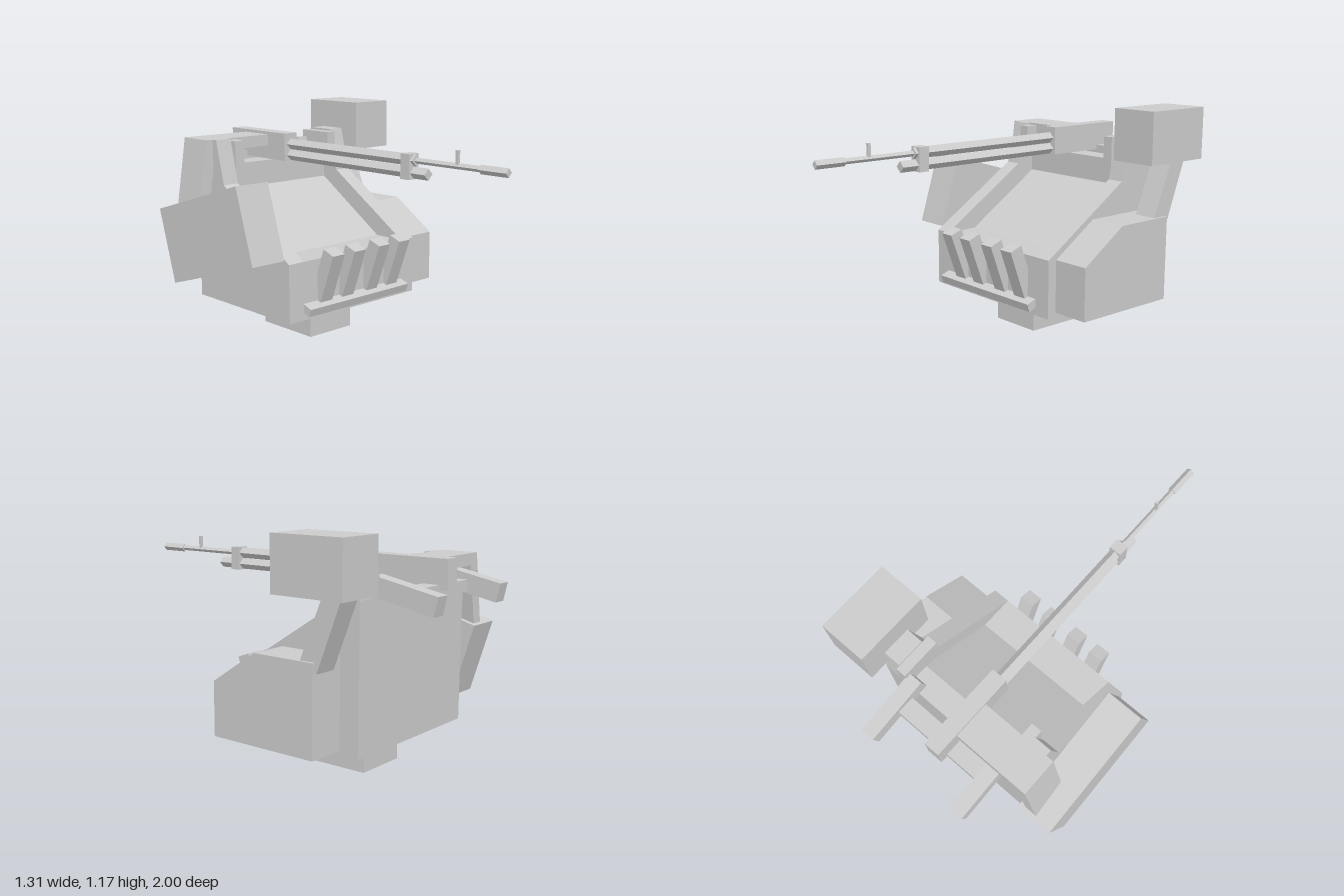
import * as THREE from 'three';

export function createModel() {
  const root = new THREE.Group();
  const mat = new THREE.MeshStandardMaterial({ color: 0xcccccc, flatShading: true });

  const add = (name, geo) => {
    const mesh = new THREE.Mesh(geo, mat);
    mesh.name = name;
    root.add(mesh);
    return mesh;
  };
  // Box from its extents
  const box = (name, x0, x1, y0, y1, z0, z1) =>
    add(name, new THREE.BoxGeometry(x1 - x0, y1 - y0, z1 - z0)
      .translate((x0 + x1) / 2, (y0 + y1) / 2, (z0 + z1) / 2));
  // Side profile of [z, y] points, extruded from x0 to x1
  const slab = (name, x0, x1, pts) => {
    const shape = new THREE.Shape(pts.map(([z, y]) => new THREE.Vector2(-z, y)));
    const geo = new THREE.ExtrudeGeometry(shape, { depth: x1 - x0, bevelEnabled: false });
    return add(name, geo.rotateY(Math.PI / 2).translate(x0, 0, 0));
  };
  // Square bar along z, turned onto its edge; r is half its diagonal
  const diamondBar = (name, r, y, z0, z1) =>
    add(name, new THREE.CylinderGeometry(r, r, z1 - z0, 4)
      .rotateX(Math.PI / 2).translate(-0.06, y, (z0 + z1) / 2));

  // Pedestal and main housing
  box('pedestal', -0.17, 0.115, 0, 0.18, -0.525, -0.15);
  slab('housing', -0.37, 0.32, [[0.03, 0.175], [0.03, 0.47], [-0.15, 0.47],
    [-0.58, 0.75], [-0.58, 0.88], [-0.70, 0.88], [-0.70, 0.175]]);

  // Side walls rising into posts
  for (const [x0, x1] of [[-0.46, -0.37], [0.32, 0.41]]) {
    slab('sideWall', x0, x1, [[0.03, 0.175], [0.03, 0.47], [-0.475, 0.795],
      [-0.53, 1.02], [-0.68, 1.02], [-0.70, 0.88], [-0.70, 0.175]]);
  }
  // Small blocks on the inside of the posts
  box('innerBlock', -0.37, -0.315, 0.865, 1.01, -0.57, -0.49);
  box('innerBlock', 0.267, 0.32, 0.865, 1.01, -0.70, -0.49);

  // Left-hand ammunition side box and its support, sensor head
  slab('sideBox', 0.41, 0.605, [[-0.02, 0.2], [-0.02, 0.465], [-0.27, 0.63],
    [-0.6, 0.63], [-0.6, 0.2]]);
  slab('headStrut', 0.47, 0.59, [[-0.51, 0.605], [-0.61, 0.58], [-0.74, 0.92], [-0.64, 0.92]]);
  box('sensorHead', 0.41, 0.655, 0.91, 1.17, -0.79, -0.41);

  // Tilted magazine box on the right
  slab('magazine', -0.655, -0.463, [[-0.115, 0.855], [0, 0.485], [-0.655, 0.285], [-0.77, 0.66]]);

  // Bent feed arm from magazine to gun
  const arm = new THREE.Shape([[-0.1, 1.02], [-0.5, 1.02], [-0.565, 0.62], [-0.5, 0.62],
    [-0.445, 0.96], [-0.1, 0.96]].map(([x, y]) => new THREE.Vector2(x, y)));
  add('feedArm', new THREE.ExtrudeGeometry(arm, { depth: 0.19, bevelEnabled: false })
    .translate(0, 0, -0.75));

  // Rear handles with crossbar
  for (const x of [-0.345, 0.2]) {
    slab('rearHandle', x, x + 0.073, [[-0.67, 0.975], [-1, 0.91], [-0.98, 0.82], [-0.65, 0.885]]);
  }
  box('crossbar', -0.272, 0.2, 0.86, 0.915, -0.83, -0.74);

  // Gun
  box('receiver', -0.102, -0.02, 0.89, 1.035, -0.87, -0.42);
  diamondBar('barrelJacket', 0.028, 0.978, -0.42, 0.475);
  diamondBar('gasTube', 0.028, 0.92, -0.42, 0.55);
  diamondBar('barrel', 0.014, 0.977, 0.475, 0.86);
  diamondBar('muzzle', 0.021, 0.976, 0.85, 1);
  box('barrelClamp', -0.093, -0.028, 0.888, 1.008, 0.405, 0.46);
  box('frontSight', -0.067, -0.053, 0.977, 1.048, 0.713, 0.728);

  // Row of launcher tubes on the front rail
  for (const x of [-0.239, -0.093, 0.077, 0.225]) {
    slab('launcherTube', x - 0.039, x + 0.039,
      [[0.143, 0.5], [0.075, 0.525], [-0.02, 0.27], [0.048, 0.245]]);
  }
  slab('launcherRail', -0.37, 0.32, [[0.083, 0.24], [0.07, 0.2], [0.015, 0.22], [0.028, 0.26]]);

  return root;
}
